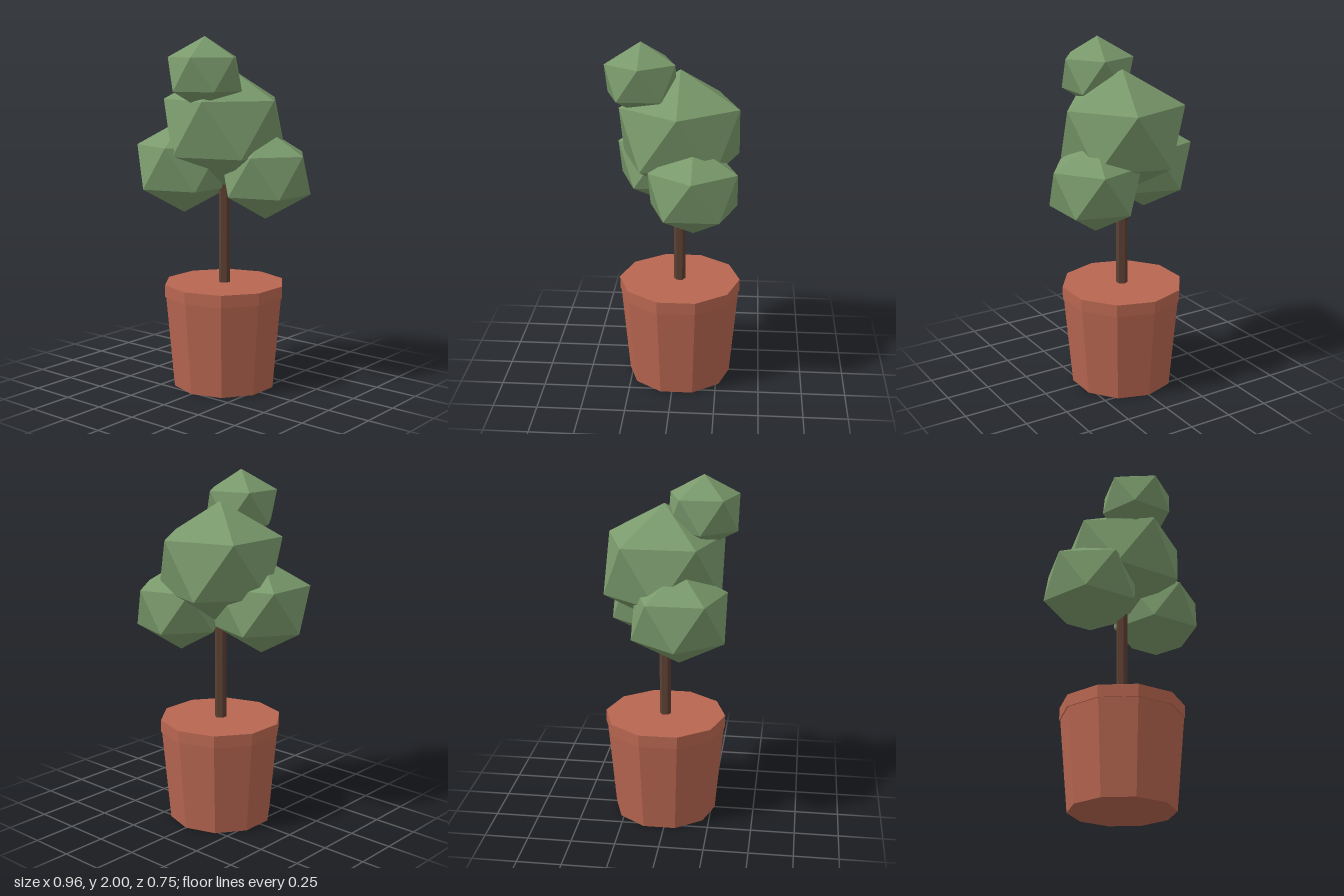
import * as THREE from 'three';

const material = (color) => new THREE.MeshStandardMaterial({ color, flatShading: true });

export function createModel() {
  const model = new THREE.Group();
  model.name = 'pottedTree';
  const clay = material(0xb86650);
  const bark = material(0x5c4033);
  const leaf = material(0x7a9a6c);
  const axisZ = -0.027; // pot and trunk sit slightly behind the centre

  // Upright faceted cylinder from y0 to y1
  const addColumn = (name, rBottom, rTop, y0, y1, sides, mat) => {
    const mesh = new THREE.Mesh(new THREE.CylinderGeometry(rTop, rBottom, y1 - y0, sides), mat);
    mesh.position.set(0, (y0 + y1) / 2, axisZ);
    mesh.name = name;
    model.add(mesh);
  };
  addColumn('pot', 0.297, 0.344, 0, 0.53, 10, clay);
  addColumn('potRim', 0.35, 0.35, 0.53, 0.6, 10, clay);
  addColumn('trunk', 0.033, 0.033, 0.58, 1.4, 6, bark);

  // Foliage: icosahedra standing on a corner, slightly flattened
  const clump = new THREE.IcosahedronGeometry(1, 0);
  clump.rotateZ(-Math.atan(2 / (1 + Math.sqrt(5))));
  const foliage = [
    ['crownMain', 0, 1.497, -0.03, 0.386],
    ['crownTop', 0.033, 1.797, 0.183, 0.226],
    ['crownRight', -0.213, 1.27, 0.078, 0.3],
    ['crownLeft', 0.227, 1.236, -0.115, 0.283],
  ];
  for (const [name, x, y, z, r] of foliage) {
    const mesh = new THREE.Mesh(clump, leaf);
    mesh.name = name;
    mesh.position.set(x, y, z);
    mesh.scale.set(r, r * 0.9, r);
    model.add(mesh);
  }
  return model;
}
